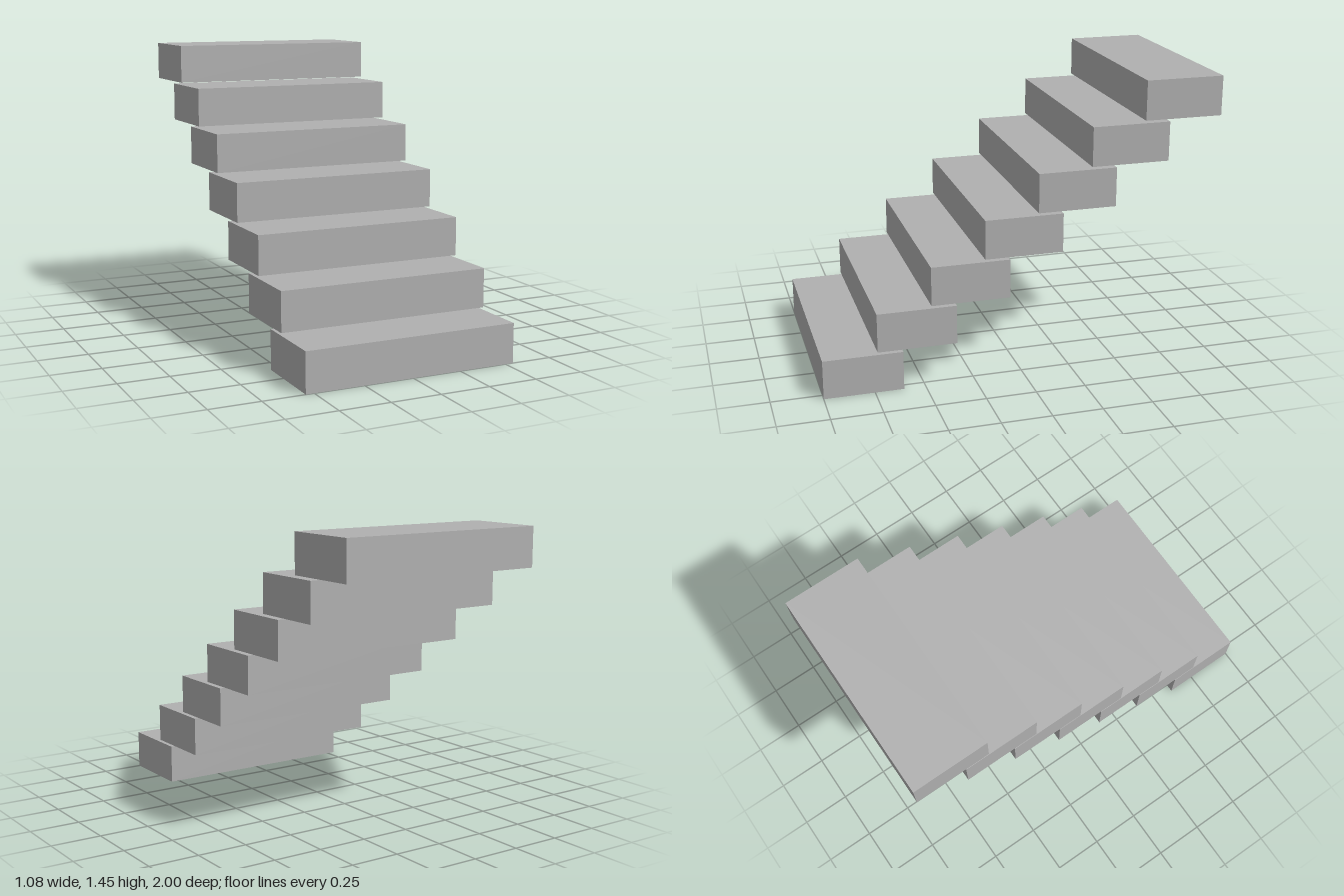
import * as THREE from 'three';

const STEPS = 7;
const WIDTH = 1.083, HEIGHT = 0.197, DEPTH = 0.393;
const RISE = 0.2093; // leaves a thin gap between steps
const RUN = (2 - DEPTH) / (STEPS - 1);

export function createModel() {
  const model = new THREE.Group();
  model.name = 'floatingStairs';

  const stone = new THREE.MeshStandardMaterial({ color: 0xb0b0b0 });
  stone.name = 'grey stone';

  // One block per step, climbing from the front towards the back
  const block = new THREE.BoxGeometry(WIDTH, HEIGHT, DEPTH);
  for (let i = 0; i < STEPS; i++) {
    const step = new THREE.Mesh(block, stone);
    step.name = `step${i + 1}`;
    step.position.set(0, HEIGHT / 2 + i * RISE, 1 - DEPTH / 2 - i * RUN);
    model.add(step);
  }
  return model;
}
